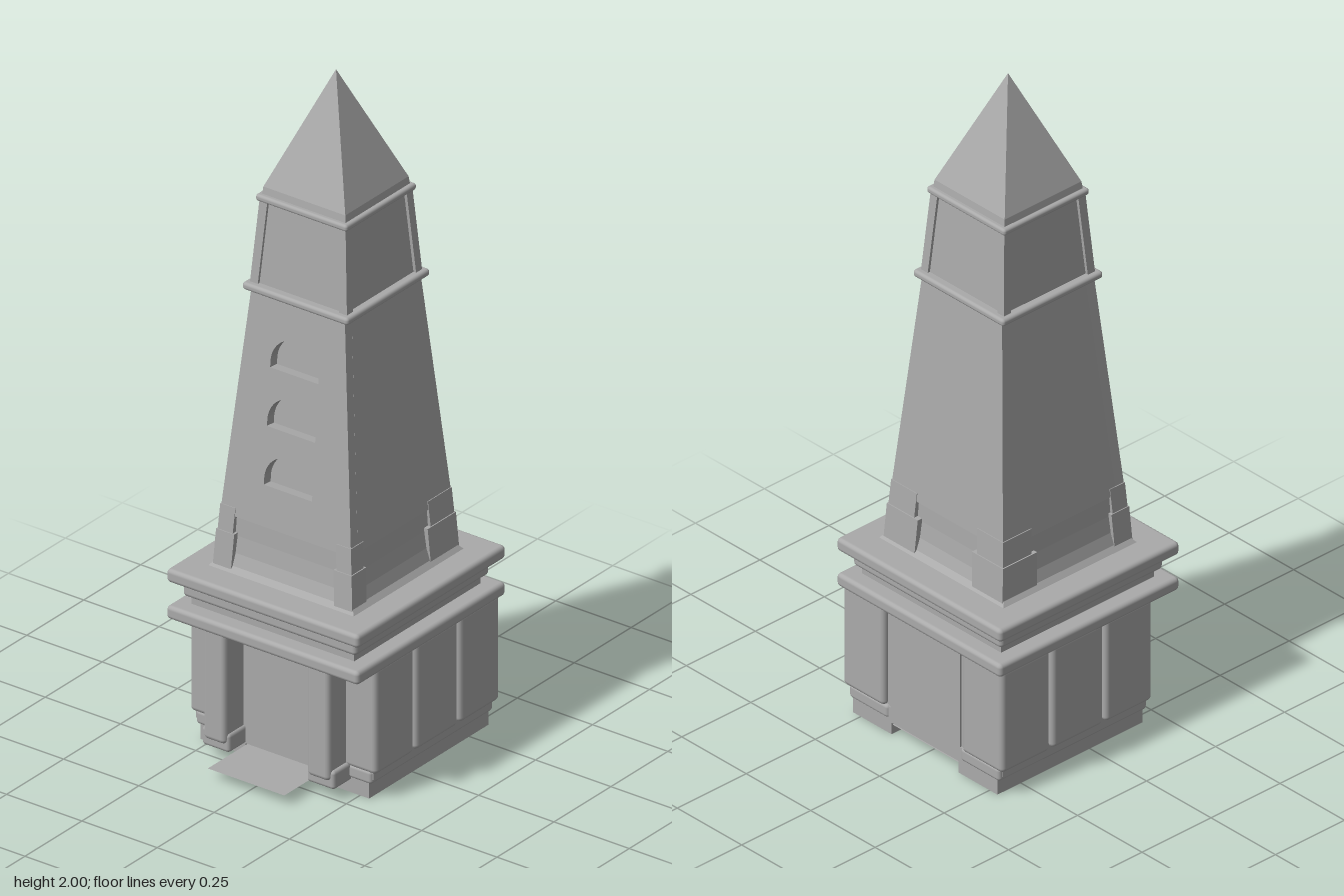
import * as THREE from 'three';
import { RoundedBoxGeometry } from 'three/addons/geometries/RoundedBoxGeometry.js';

const CZ = -0.035; // the tower axis sits a little behind the origin

export function createModel() {
  const root = new THREE.Group();
  root.name = 'stoneTower';
  const stone = new THREE.MeshStandardMaterial({ color: 0xaaaaaa });
  stone.name = 'grey stone';
  const stoneSheet = stone.clone();
  stoneSheet.name = 'grey stone';
  stoneSheet.side = THREE.DoubleSide;

  const add = (name, geo, mat = stone) => {
    const mesh = new THREE.Mesh(geo, mat);
    mesh.name = name;
    root.add(mesh);
    return mesh;
  };

  // Box given by its limits; a radius rounds the edges
  const block = (name, x0, x1, y0, y1, z0, z1, r = 0) => {
    const w = x1 - x0, h = y1 - y0, d = z1 - z0;
    const geo = r ? new RoundedBoxGeometry(w, h, d, 2, r) : new THREE.BoxGeometry(w, h, d);
    geo.translate((x0 + x1) / 2, (y0 + y1) / 2, (z0 + z1) / 2);
    return add(name, geo);
  };

  // Capped skin over rectangular rings [y, x0, x1, z0, z1], flat faced
  const loft = (name, rings) => {
    const pos = [], idx = [];
    for (const [y, x0, x1, z0, z1] of rings)
      pos.push(x0, y, z1, x1, y, z1, x1, y, z0, x0, y, z0);
    for (let r = 0; r < rings.length - 1; r++)
      for (let i = 0; i < 4; i++) {
        const a = r * 4 + i, b = r * 4 + (i + 1) % 4;
        idx.push(a, b, b + 4, a, b + 4, a + 4);
      }
    const t = (rings.length - 1) * 4;
    idx.push(0, 2, 1, 0, 3, 2, t, t + 1, t + 2, t, t + 2, t + 3);
    const geo = new THREE.BufferGeometry();
    geo.setAttribute('position', new THREE.Float32BufferAttribute(pos, 3));
    geo.setIndex(idx);
    const flat = geo.toNonIndexed();
    flat.computeVertexNormals();
    return add(name, flat);
  };
  const square = (y, hx, hz = hx) => [y, -hx, hx, CZ - hz, CZ + hz];

  // Ground storey: core, recessed door and back wall, floor sheet
  block('baseCore', -0.295, 0.295, 0.06, 0.4, -0.33, 0.19);
  block('doorWall', -0.135, 0.135, 0.036, 0.39, -0.335, 0.192);
  const floor = new THREE.PlaneGeometry(0.254, 0.695);
  floor.rotateX(-Math.PI / 2).translate(0, 0.032, 0.0125);
  add('floorSheet', floor, stoneSheet);

  for (const s of [-1, 1]) {
    const side = (name, a, b, ...rest) => block(name, Math.min(s * a, s * b), Math.max(s * a, s * b), ...rest);
    // Worn wall slabs along each side
    side('frontSlab', 0.2, 0.31, 0.08, 0.4, 0.03, 0.2, 0.014);
    side('middleSlab', 0.2, 0.31, 0.08, 0.4, -0.163, 0.022, 0.014);
    side('rearSlab', 0.15, 0.31, 0.08, 0.4, -0.346, -0.171, 0.014);
    // Hollow foot under each side
    const foot = new THREE.Shape();
    foot.moveTo(0.13, -0.19).lineTo(0.28, -0.19).lineTo(0.28, 0.335).lineTo(0.13, 0.335).closePath();
    const hollow = new THREE.Path();
    hollow.moveTo(0.165, -0.15).lineTo(0.165, 0.295).lineTo(0.245, 0.295).lineTo(0.245, -0.15).closePath();
    foot.holes.push(hollow);
    const footGeo = new THREE.ExtrudeGeometry(foot, { depth: 0.082, bevelEnabled: false });
    footGeo.rotateX(-Math.PI / 2);
    if (s < 0) footGeo.translate(-0.41, 0, 0);
    add('foot', footGeo);
    side('footTrim', 0.14, 0.292, 0.045, 0.085, -0.34, 0.196, 0.01);
    // Door pillar and its plinth
    side('doorPillar', 0.135, 0.21, 0.06, 0.4, 0.17, 0.275, 0.014);
    side('pillarPlinth', 0.128, 0.22, 0.035, 0.09, 0.17, 0.265, 0.01);
  }

  // Stacked cornice
  const slab = (name, y0, y1, hx, r) => block(name, -hx, hx, y0, y1, CZ - hx - 0.007, CZ + hx + 0.007, r);
  slab('lowerCornice', 0.39, 0.43, 0.319, 0.012);
  slab('corniceNeck', 0.42, 0.51, 0.27, 0);
  slab('middleCornice', 0.455, 0.495, 0.288, 0.012);
  slab('upperCornice', 0.5, 0.54, 0.319, 0.012);

  // Flared tower foot with chipped corner stones
  loft('towerFoot', [
    square(0.53, 0.25), square(0.555, 0.228), square(0.59, 0.218), square(0.64, 0.213), square(0.73, 0.211),
  ]);
  for (const sx of [-1, 1]) for (const sz of [-1, 1]) {
    const lengths = sz < 0 ? [0.12, 0.1] : [0.06, 0.05];
    const ring = (y, h, len) => {
      const x = [sx * h, sx * (h - len)].sort((a, b) => a - b);
      const z = [CZ + sz * (h + 0.004), CZ + sz * (h - len)].sort((a, b) => a - b);
      return [y, ...x, ...z];
    };
    loft('cornerStone', [ring(0.53, 0.232, lengths[0]), ring(0.65, 0.225, lengths[0])]);
    loft('upperCornerStone', [ring(0.65, 0.222, lengths[1]), ring(0.725, 0.217, lengths[1])]);
  }

  // Tapering shaft; the front is a separate slab pierced by windows
  const Y0 = 0.7, Y1 = 1.37, X0 = 0.217, X1 = 0.155, NICHE = 0.03;
  const Z0 = CZ + 0.221, Z1 = CZ + 0.166;
  loft('shaft', [
    [Y0, -X0, X0, CZ - 0.221, Z0 - NICHE],
    [Y1, -X1, X1, CZ - 0.166, Z1 - NICHE],
  ]);
  const tilt = Math.atan2(Z0 - Z1, Y1 - Y0), len = Math.hypot(Z0 - Z1, Y1 - Y0);
  const wall = new THREE.Shape();
  wall.moveTo(-X0, 0).lineTo(X0, 0).lineTo(X1, len).lineTo(-X1, len).closePath();
  for (const y of [0.82, 0.99, 1.16]) {
    const v = (y - Y0) / Math.cos(tilt);
    const arch = new THREE.Path();
    arch.moveTo(-0.08, v).lineTo(0.08, v).lineTo(0.08, v + 0.018);
    arch.absellipse(0, v + 0.018, 0.08, 0.08, 0, Math.PI, false, 0);
    arch.closePath();
    wall.holes.push(arch);
  }
  const wallGeo = new THREE.ExtrudeGeometry(wall, { depth: NICHE, bevelEnabled: false, curveSegments: 14 });
  wallGeo.translate(0, 0, -NICHE).rotateX(-tilt).translate(0, Y0, Z0);
  add('windowWall', wallGeo);

  // Lantern storey: recessed panels, sloping corner posts, ledges
  block('lowerLedge', -0.176, 0.176, 1.362, 1.384, CZ - 0.182, CZ + 0.182, 0.009);
  loft('lantern', [square(1.37, 0.153, 0.158), square(1.64, 0.133, 0.138)]);
  for (const sx of [-1, 1]) for (const sz of [-1, 1]) {
    const post = (y, h) => [y,
      ...[sx * h, sx * (h - 0.026)].sort((a, b) => a - b),
      ...[CZ + sz * (h + 0.004), CZ + sz * (h - 0.022)].sort((a, b) => a - b)];
    loft('lanternPost', [post(1.37, 0.162), post(1.64, 0.142)]);
  }
  block('upperLedge', -0.152, 0.152, 1.624, 1.644, CZ - 0.155, CZ + 0.155, 0.008);

  // Pyramid roof
  loft('roof', [square(1.64, 0.139, 0.142), square(1.665, 0.136, 0.139), square(2, 0.0005)]);
  return root;
}
